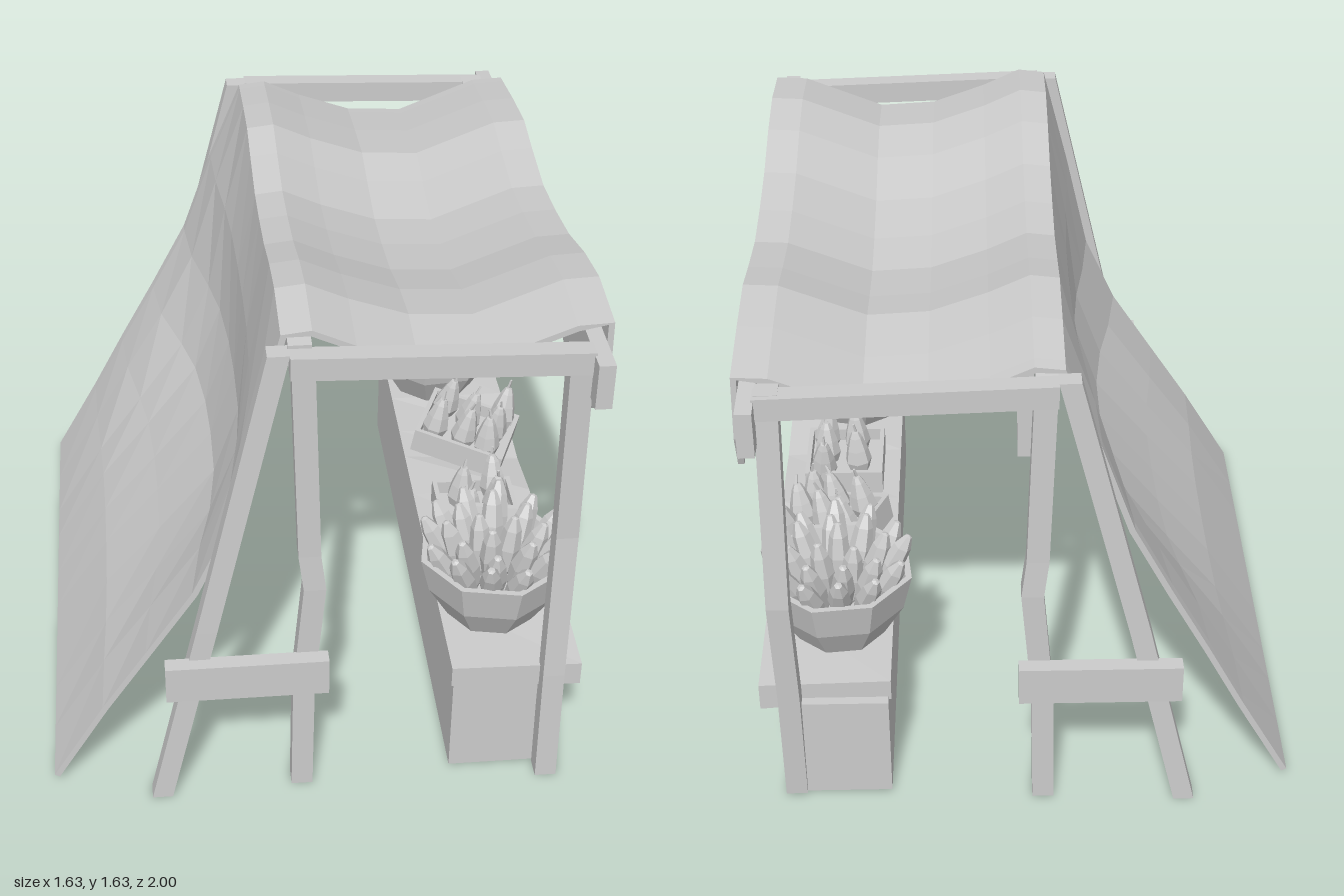
import * as THREE from 'three';

const mat = new THREE.MeshStandardMaterial({ color: 0xcccccc, flatShading: true, side: THREE.DoubleSide });

function add(parent, name, geometry, x = 0, y = 0, z = 0) {
  const mesh = new THREE.Mesh(geometry, mat);
  mesh.name = name;
  mesh.position.set(x, y, z);
  parent.add(mesh);
  return mesh;
}

// Closed solid through equal rings of [x, y, z]; ends are capped by pairing ring points
function loft(rings) {
  const tris = [], n = rings[0].length;
  const quad = (a, b, c, d) => tris.push([a, b, c], [a, c, d]);
  for (let j = 0; j + 1 < rings.length; j++) {
    for (let i = 0; i < n; i++) {
      const k = (i + 1) % n;
      quad(rings[j][i], rings[j][k], rings[j + 1][k], rings[j + 1][i]);
    }
  }
  const last = rings[rings.length - 1];
  for (let i = 0; i < n / 2 - 1; i++) {
    const r = n - 1 - i;
    quad(rings[0][i], rings[0][r], rings[0][r - 1], rings[0][i + 1]);
    quad(last[i], last[i + 1], last[r - 1], last[r]);
  }
  // Signed volume tells whether the winding faces outward
  let volume = 0;
  for (const [a, b, c] of tris) {
    volume += a[0] * (b[1] * c[2] - b[2] * c[1]) + a[1] * (b[2] * c[0] - b[0] * c[2]) + a[2] * (b[0] * c[1] - b[1] * c[0]);
  }
  if (volume < 0) tris.forEach(t => t.reverse());
  const geo = new THREE.BufferGeometry();
  geo.setAttribute('position', new THREE.Float32BufferAttribute(tris.flat(2), 3));
  geo.computeVertexNormals();
  return geo;
}

// Rectangular bar along a bent centre line; u and v are the axes of its section
function bar(points, u, v, width, depth) {
  const corners = [[-1, -1], [1, -1], [1, 1], [-1, 1]];
  return loft(points.map(p => corners.map(([a, b]) => {
    const q = [...p];
    q[u] += a * width / 2;
    q[v] += b * depth / 2;
    return q;
  })));
}
const X = 0, Y = 1, Z = 2;

// Cloth columns: z, height wave, inward sag, hem height
const columns = [
  [0.87, 0.057, 0.4, 1.31], [0.66, 0.075, 0.6, 1.165], [0.48, 0.045, 0.85, 1.18], [0.28, -0.01, 1, 1.25],
  [0.08, -0.04, 1, 1.185], [-0.1, -0.055, 0.95, 1.12], [-0.3, -0.03, 0.8, 1.215], [-0.45, -0.005, 0.55, 1.3],
  [-0.65, -0.025, 0.15, 1.2], [-0.83, -0.05, 0, 1.17], [-0.87, -0.055, 0, 1.28],
];
// Cloth profile: x, y, share of wave, share of sag
const profile = [
  [-0.81, 0.02, 0, 0], [-0.66, 0.29, 0, 0.03], [-0.55, 0.5, 0, 0.1], [-0.43, 0.72, 0, 0.16],
  [-0.31, 0.95, 0, 0.12], [-0.21, 1.25, 0.3, 0.05], [-0.105, 1.545, 1, 0], [-0.02, 1.555, 1, 0],
  [0.1, 1.5, 1, 0], [0.27, 1.44, 1, 0], [0.45, 1.43, 1, 0], [0.6, 1.49, 1, 0],
  [0.7, 1.53, 1, 0], [0.8, 1.535, 1, 0],
];

function clothGeometry() {
  return loft(columns.map(([z, wave, sag, hem]) => {
    const path = profile.map(([x, y, w, s]) => [x + s * sag, y + w * wave]);
    path.push([0.805, hem]);
    const inner = path.map(([x, y], i) => {
      const a = path[Math.max(i - 1, 0)], b = path[Math.min(i + 1, path.length - 1)];
      const dx = b[0] - a[0], dy = b[1] - a[1], l = Math.hypot(dx, dy);
      return [x + dy / l * 0.018, y - dx / l * 0.018];
    });
    return [...path, ...inner.reverse()].map(([x, y]) => [x, Math.max(y, 0), z]);
  }));
}

// Bowl heaped with long ribbed pods
function podBowl(z, turn) {
  const bowl = new THREE.Group();
  bowl.name = 'podBowl';
  const outline = [[0, 0], [0.14, 0], [0.205, 0.11], [0.235, 0.23], [0.215, 0.23], [0.185, 0.12], [0, 0.1]];
  add(bowl, 'bowl', new THREE.LatheGeometry(outline.map(p => new THREE.Vector2(...p)), 8));
  const podShape = [[0, -0.13], [0.026, -0.08], [0.036, 0], [0.028, 0.07], [0.012, 0.11], [0, 0.115]];
  const podGeo = new THREE.LatheGeometry(podShape.map(p => new THREE.Vector2(...p)), 6);
  [[3, 0.05, 0.12], [8, 0.115, 0.32], [12, 0.165, 0.5]].forEach(([count, radius, lean], ring) => {
    for (let i = 0; i < count; i++) {
      const a = (i + ring * 0.4) / count * Math.PI * 2;
      const pod = add(bowl, 'pod', podGeo, Math.cos(a) * radius, 0.222 - ring * 0.004 + 0.012 * Math.sin(i * 2.3), Math.sin(a) * radius);
      pod.rotation.set(Math.sin(a) * lean, 0, -Math.cos(a) * lean);
    }
  });
  bowl.position.set(0.565, 0.41, z);
  bowl.rotation.y = turn;
  return bowl;
}

// Shallow open crate with stemmed fruit
function fruitCrate(length, depth, spots) {
  const crate = new THREE.Group();
  crate.name = 'fruitCrate';
  const h = 0.085, t = 0.015;
  add(crate, 'crateFloor', new THREE.BoxGeometry(depth, 0.04, length), 0, 0.02, 0);
  for (const s of [-1, 1]) {
    add(crate, 'crateLongSide', new THREE.BoxGeometry(t, h, length), s * (depth - t) / 2, h / 2, 0);
    add(crate, 'crateShortSide', new THREE.BoxGeometry(depth, h, t), 0, h / 2, s * (length - t) / 2);
  }
  const shape = [[0, 0], [0.034, 0.005], [0.045, 0.04], [0.036, 0.085], [0.022, 0.13], [0.012, 0.15], [0, 0.152]];
  const fruitGeo = new THREE.LatheGeometry(shape.map(p => new THREE.Vector2(...p)), 7);
  const stemGeo = new THREE.CylinderGeometry(0.004, 0.006, 0.035, 4);
  spots.forEach(([x, z], i) => {
    const fruit = add(crate, 'fruit', fruitGeo, x, 0.045, z);
    fruit.rotation.set(0.12 * Math.sin(i * 2.1), i, 0.12 * Math.cos(i * 1.7));
    add(fruit, 'stem', stemGeo, 0, 0.165, 0).rotation.z = 0.25;
  });
  return crate;
}

export function createModel() {
  const stall = new THREE.Group();
  stall.name = 'marketStall';

  add(stall, 'clothCanopy', clothGeometry());

  // End frames: the far one stands a little lower
  for (const s of [1, -1]) {
    const drop = s > 0 ? 0 : 0.09;
    const frontLine = s > 0
      ? [[0.705, 0, 0.95], [0.705, 0.4, 0.935], [0.713, 0.9, 0.9], [0.703, 1.54, 0.915]]
      : [[0.705, 0, -0.89], [0.705, 0.4, -0.915], [0.713, 0.76, -0.94], [0.703, 1.46, -0.9]];
    add(stall, 'frontPost', bar(frontLine, X, Z, 0.065, 0.062));
    const ridgeLine = [[-0.05, 0, 0.92], [-0.045, 0.42, 0.92], [-0.015, 0.78, 0.925], [-0.03, 0.9, 0.92], [-0.05, 1.55 - drop, 0.915]];
    add(stall, 'ridgePost', bar(ridgeLine.map(([x, y, z]) => [x, y, s * z]), X, Z, 0.065, 0.06));
    const legLine = [[-0.48, 0, 0.945], [-0.33, 0.64, 0.93], [-0.115, 1.575 - drop, 0.905]];
    add(stall, 'slantedLeg', bar(legLine.map(([x, y, z]) => [x, y, s * z]), X, Z, 0.062, 0.055));
    add(stall, 'sideBeam', bar([[-0.085, 1.54 - drop, s * 0.918], [0.74, 1.512 - drop, s * 0.918]], Y, Z, 0.07, 0.06));
    add(stall, 'sideBrace', new THREE.BoxGeometry(0.48, 0.125, 0.048), -0.215, 0.48, s * 0.974);
  }

  // Long beams under the cloth
  const ridge = columns.map(([z, wave]) => [-0.055, 1.495 + wave, z * 1.03]);
  add(stall, 'ridgeBeam', bar(ridge, X, Y, 0.065, 0.065));
  const frontBeam = [[1, 1.47], [0.6, 1.47], [0.25, 1.42], [-0.05, 1.385], [-0.45, 1.41], [-1, 1.375]];
  add(stall, 'frontBeam', bar(frontBeam.map(([z, y]) => [0.757, y, z]), X, Y, 0.047, 0.14));

  // Counter with a warped top
  add(stall, 'counter', new THREE.BoxGeometry(0.32, 0.35, 1.82), 0.573, 0.175, 0);
  const edge = [[0.92, 0.32, 0.4], [0.6, 0.335, 0.415], [0.35, 0.3, 0.39], [0.06, 0.33, 0.402], [-0.15, 0.305, 0.375],
    [-0.3, 0.29, 0.385], [-0.5, 0.315, 0.41], [-0.88, 0.31, 0.4]];
  add(stall, 'counterTop', loft(edge.map(([z, low, high]) => [[0.405, 0.34, z], [0.8, low, z], [0.8, high, z], [0.405, 0.41, z]])));

  // Goods
  stall.add(podBowl(0.64, 0.2), podBowl(-0.61, 0.5));
  const crateA = fruitCrate(0.28, 0.26, [[0.07, 0.08], [0.06, -0.01], [0.07, -0.09], [-0.04, 0.06], [-0.05, -0.06]]);
  crateA.position.set(0.59, 0.405, 0.235);
  const crateB = fruitCrate(0.27, 0.31, [[0.09, 0.08], [0.09, -0.01], [0.1, -0.09], [0, 0.07], [-0.01, -0.03], [-0.1, 0.07], [-0.1, -0.06]]);
  crateB.position.set(0.61, 0.435, -0.185);
  crateB.rotation.set(0, -0.4, -0.18);
  stall.add(crateA, crateB);

  return stall;
}
